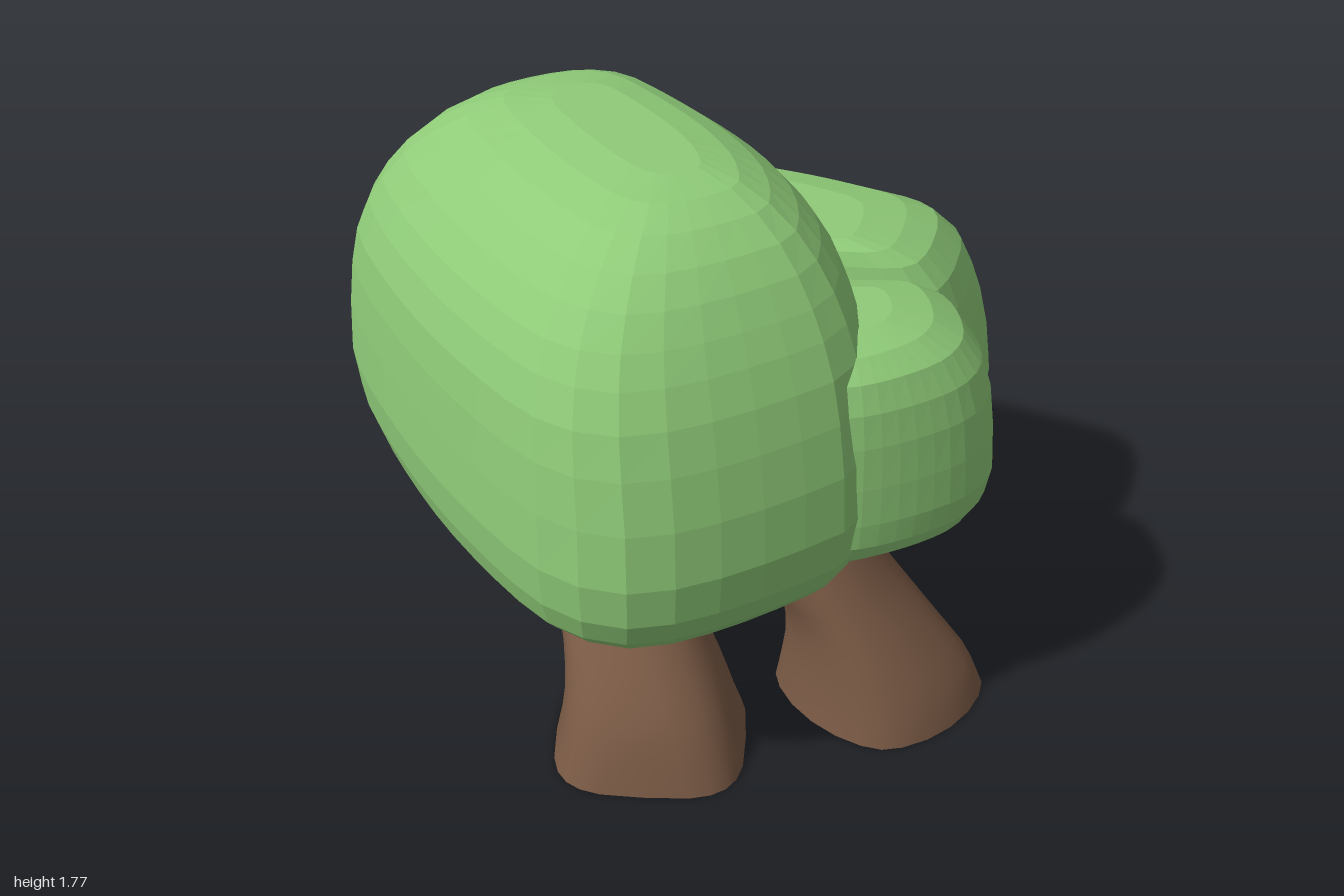
import * as THREE from 'three';
import { toCreasedNormals } from 'three/addons/utils/BufferGeometryUtils.js';

const leaf = new THREE.MeshStandardMaterial({ color: 0x8fcb78, flatShading: true });
const bark = new THREE.MeshStandardMaterial({ color: 0x7a5a45 });

// Skin a stack of rings (bottom to top, each counterclockwise from above) and close both ends
function loft(rings) {
  const n = rings[0].length, pos = [], idx = [];
  const centre = (ring) => ring.reduce((s, p) => s.add(p), new THREE.Vector3()).divideScalar(n);
  for (const p of [...rings.flat(), centre(rings[0]), centre(rings[rings.length - 1])]) pos.push(p.x, p.y, p.z);
  const last = (rings.length - 1) * n, low = rings.length * n, high = low + 1;
  for (let j = 0; j < n; j++) {
    const k = (j + 1) % n;
    for (let i = 0; i < last; i += n) idx.push(i + j, i + k, i + n + k, i + j, i + n + k, i + n + j);
    idx.push(low, k, j, high, last + j, last + k);
  }
  const geo = new THREE.BufferGeometry();
  geo.setAttribute('position', new THREE.Float32BufferAttribute(pos, 3));
  geo.setIndex(idx);
  geo.computeVertexNormals();
  return geo;
}

// Leaf crown: plan outline scaled about a pivot, level by level.
// Levels are [y, scale along the axis, scale across it].
function crown(name, outline, [px, pz], levels, [ux, uz]) {
  const curve = new THREE.CatmullRomCurve3(outline.map(([x, z]) => new THREE.Vector3(x, 0, z)), true);
  const plan = curve.getSpacedPoints(40).slice(0, 40);
  const rings = levels.map(([y, along, across]) => plan.map((p) => {
    const dx = p.x - px, dz = p.z - pz;
    const a = (dx * ux + dz * uz) * along, b = (dx * uz - dz * ux) * across;
    return new THREE.Vector3(px + a * ux + b * uz, y, pz + a * uz - b * ux);
  }));
  const mesh = new THREE.Mesh(loft(rings), leaf);
  mesh.name = name;
  return mesh;
}

// Trunk: sections given as [y, xMin, xMax, zMin, zMax], smoothed upward.
// The foot is squarer (power < 1) or more pointed (power > 1), turning oval at the top.
function trunk(name, power, rows) {
  const centres = new THREE.CatmullRomCurve3(rows.map(([y, a, b, c, d]) => new THREE.Vector3((a + b) / 2, y, (c + d) / 2)));
  const radii = new THREE.CatmullRomCurve3(rows.map(([y, a, b, c, d]) => new THREE.Vector3((b - a) / 2, y, (d - c) / 2)));
  const rings = [];
  for (let i = 0; i <= 12; i++) {
    const c = centres.getPoint(i / 12), r = radii.getPoint(i / 12);
    const e = THREE.MathUtils.lerp(power, 1, i / 12);
    const bend = (v) => Math.sign(v) * Math.abs(v) ** e;
    rings.push(Array.from({ length: 24 }, (_, j) => {
      const t = (j / 24) * Math.PI * 2;
      return new THREE.Vector3(c.x + r.x * bend(Math.cos(t)), c.y, c.z - r.z * bend(Math.sin(t)));
    }));
  }
  const mesh = new THREE.Mesh(toCreasedNormals(loft(rings), 0.8), bark);
  mesh.name = name;
  return mesh;
}

export function createModel() {
  const group = new THREE.Group();
  group.name = 'treeCluster';

  // Large crown, long and slanted
  group.add(crown('largeCrown', [
    [-0.32, -0.88], [-0.5, -0.83], [-0.82, -0.62], [-0.95, -0.46], [-1, -0.3], [-0.965, -0.16],
    [-0.88, 0.02], [-0.65, 0.4], [-0.4, 0.72], [-0.28, 0.84], [-0.15, 0.91], [-0.03, 0.925],
    [0.1, 0.89], [0.22, 0.83], [0.42, 0.7], [0.56, 0.575], [0.595, 0.4], [0.575, 0.18],
    [0.51, -0.01], [0.4, -0.22], [0.23, -0.46], [0.05, -0.67], [-0.1, -0.82], [-0.2, -0.87],
  ], [-0.09, 0.04], [
    [0.52, 0.4, 0.4], [0.55, 0.72, 0.72], [0.6, 0.87, 0.87], [0.66, 0.93, 0.94], [0.75, 0.98, 0.98],
    [0.88, 1, 1], [1.05, 0.985, 0.99], [1.2, 0.95, 0.975], [1.32, 0.91, 0.95], [1.42, 0.86, 0.9],
    [1.5, 0.81, 0.84], [1.58, 0.75, 0.75], [1.65, 0.68, 0.64], [1.71, 0.59, 0.5], [1.75, 0.49, 0.35],
    [1.77, 0.35, 0.18],
  ], [0.56, 0.83]));

  // Middle crown at the back
  group.add(crown('backCrown', [
    [0.05, -0.935], [-0.04, -0.92], [-0.14, -0.84], [-0.14, -0.55], [-0.02, -0.2], [0.2, -0.04],
    [0.5, -0.025], [0.82, -0.025], [0.88, -0.06], [0.935, -0.16], [0.975, -0.3], [1, -0.45], [0.985, -0.56],
    [0.9, -0.65], [0.75, -0.72], [0.5, -0.82], [0.2, -0.91],
  ], [0.35, -0.2], [
    [0.52, 0.5, 0.42], [0.55, 0.82, 0.8], [0.6, 0.92, 0.91], [0.68, 0.98, 0.98], [0.77, 1, 1],
    [0.9, 0.965, 0.97], [1.03, 0.915, 0.92], [1.13, 0.86, 0.865], [1.22, 0.8, 0.8], [1.3, 0.7, 0.68],
    [1.34, 0.6, 0.53], [1.365, 0.42, 0.33],
  ], [0, 1]));

  // Small crown at the side
  group.add(crown('smallCrown', [
    [0.4, -0.035], [0.25, 0.05], [0.2, 0.25], [0.3, 0.5], [0.46, 0.575], [0.55, 0.57], [0.75, 0.48],
    [0.88, 0.38], [0.94, 0.27], [0.945, 0.17], [0.91, 0.04], [0.85, -0.03], [0.6, -0.035],
  ], [0.47, 0.26], [
    [0.66, 0.45, 0.42], [0.68, 0.78, 0.76], [0.72, 0.92, 0.9], [0.77, 0.98, 0.97], [0.85, 1, 1],
    [0.97, 1, 0.98], [1.1, 0.985, 0.94], [1.2, 0.95, 0.87], [1.28, 0.87, 0.75], [1.33, 0.7, 0.57],
    [1.355, 0.42, 0.33],
  ], [0, 1]));

  // Curved trunks
  group.add(trunk('frontTrunk', 0.58, [
    [0, -0.3, 0.27, 0.23, 0.77], [0.1, -0.28, 0.24, 0.25, 0.74], [0.2, -0.27, 0.2, 0.22, 0.7],
    [0.32, -0.28, 0.13, 0.16, 0.61], [0.43, -0.32, 0.06, 0.08, 0.49], [0.54, -0.38, -0.01, -0.02, 0.37],
    [0.68, -0.43, -0.07, -0.12, 0.25],
  ]));
  group.add(trunk('sideTrunk', 1.22, [
    [0, 0.355, 0.995, -0.11, 0.53], [0.1, 0.37, 0.95, -0.08, 0.5], [0.2, 0.38, 0.87, -0.06, 0.47],
    [0.32, 0.36, 0.77, -0.055, 0.43], [0.42, 0.3, 0.69, -0.055, 0.4], [0.55, 0.22, 0.61, -0.06, 0.36],
    [0.67, 0.15, 0.55, -0.05, 0.31], [0.8, 0.1, 0.47, -0.04, 0.27],
  ]));
  group.add(trunk('backTrunk', 0.58, [
    [0, -0.31, 0.25, -0.62, -0.08], [0.1, -0.28, 0.23, -0.6, -0.1], [0.2, -0.24, 0.2, -0.58, -0.13],
    [0.32, -0.2, 0.19, -0.565, -0.17], [0.45, -0.17, 0.2, -0.565, -0.23], [0.57, -0.14, 0.21, -0.575, -0.28],
    [0.7, -0.12, 0.24, -0.59, -0.31],
  ]));
  return group;
}
